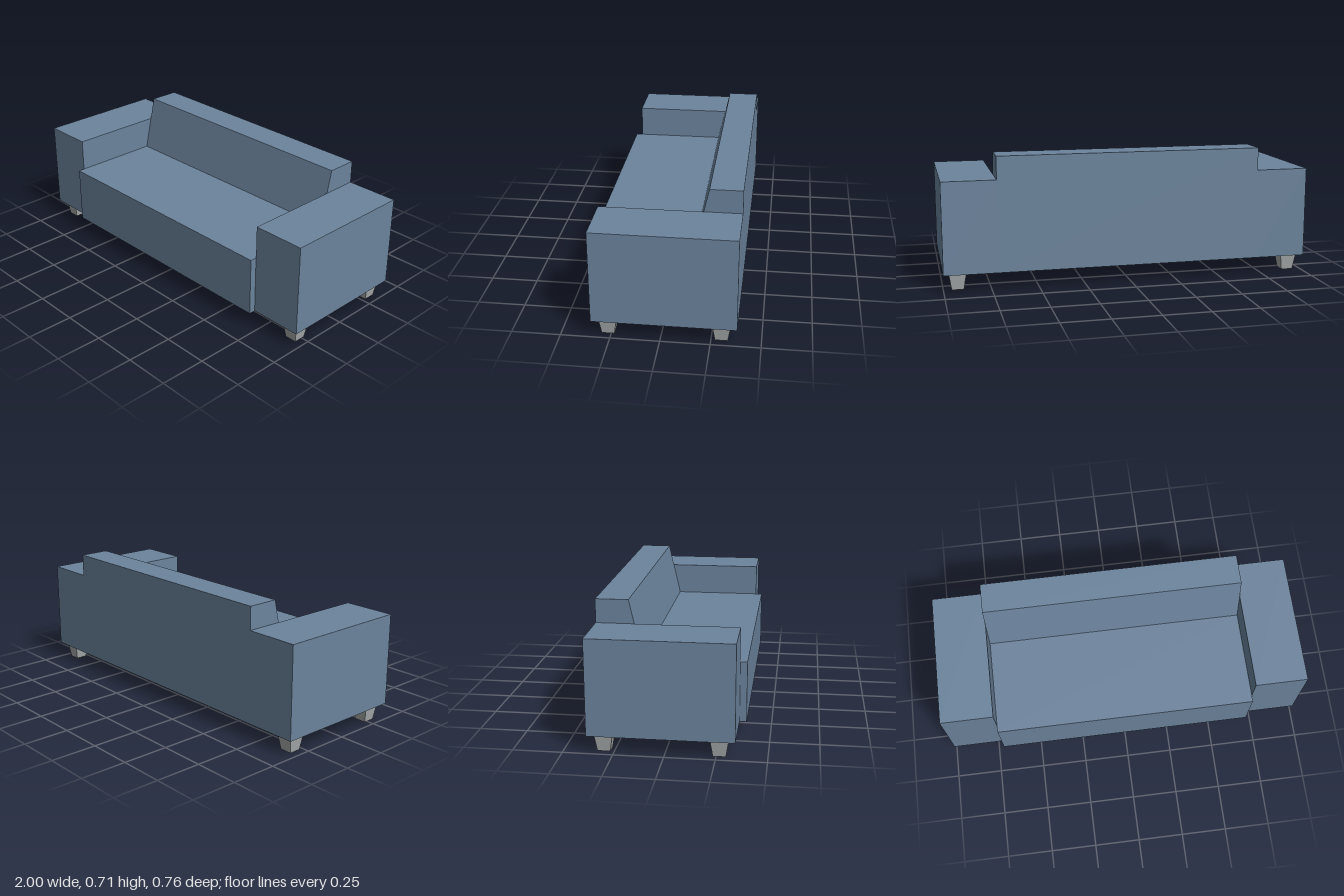
import * as THREE from 'three';

export function createModel() {
  const fabric = new THREE.MeshStandardMaterial({ color: 0x6c849d });
  fabric.name = 'blue fabric';
  const legGrey = new THREE.MeshStandardMaterial({ color: 0xa9adad });
  legGrey.name = 'grey legs';

  const sofa = new THREE.Group();
  sofa.name = 'sofa';
  const add = (name, geometry, material, x, y, z) => {
    const mesh = new THREE.Mesh(geometry, material);
    mesh.name = name;
    mesh.position.set(x, y, z);
    sofa.add(mesh);
    return mesh;
  };

  const base = 0.09, back = -0.381, front = 0.381;
  const armInner = 0.714, armTop = 0.583, armFront = 0.345;

  // Seat and sloping backrest: one side profile (z, y) extruded across the width
  const profile = new THREE.Shape([
    [back, base], [front, base], [front, 0.406],
    [-0.145, 0.406], [-0.213, 0.706], [back, 0.706],
  ].map(([z, y]) => new THREE.Vector2(-z, y)));
  const seat = new THREE.ExtrudeGeometry(profile, { depth: armInner * 2, bevelEnabled: false });
  seat.translate(0, 0, -armInner).rotateY(Math.PI / 2);
  add('seatAndBackrest', seat, fabric, 0, 0, 0);

  // Tapered square leg, narrower at the floor
  const leg = new THREE.CylinderGeometry(0.092 / Math.SQRT2, 0.064 / Math.SQRT2, base, 4).toNonIndexed();
  leg.rotateY(Math.PI / 4);
  leg.computeVertexNormals();

  // Arms and legs, mirrored left and right
  const arm = new THREE.BoxGeometry(1 - armInner, armTop - base, armFront - back);
  for (const [side, s] of [['left', 1], ['right', -1]]) {
    add(side + 'Arm', arm, fabric, s * (1 + armInner) / 2, (armTop + base) / 2, (armFront + back) / 2);
    add(side + 'FrontLeg', leg, legGrey, s * 0.925, base / 2, 0.266);
    add(side + 'BackLeg', leg, legGrey, s * 0.925, base / 2, -0.302);
  }
  return sofa;
}
